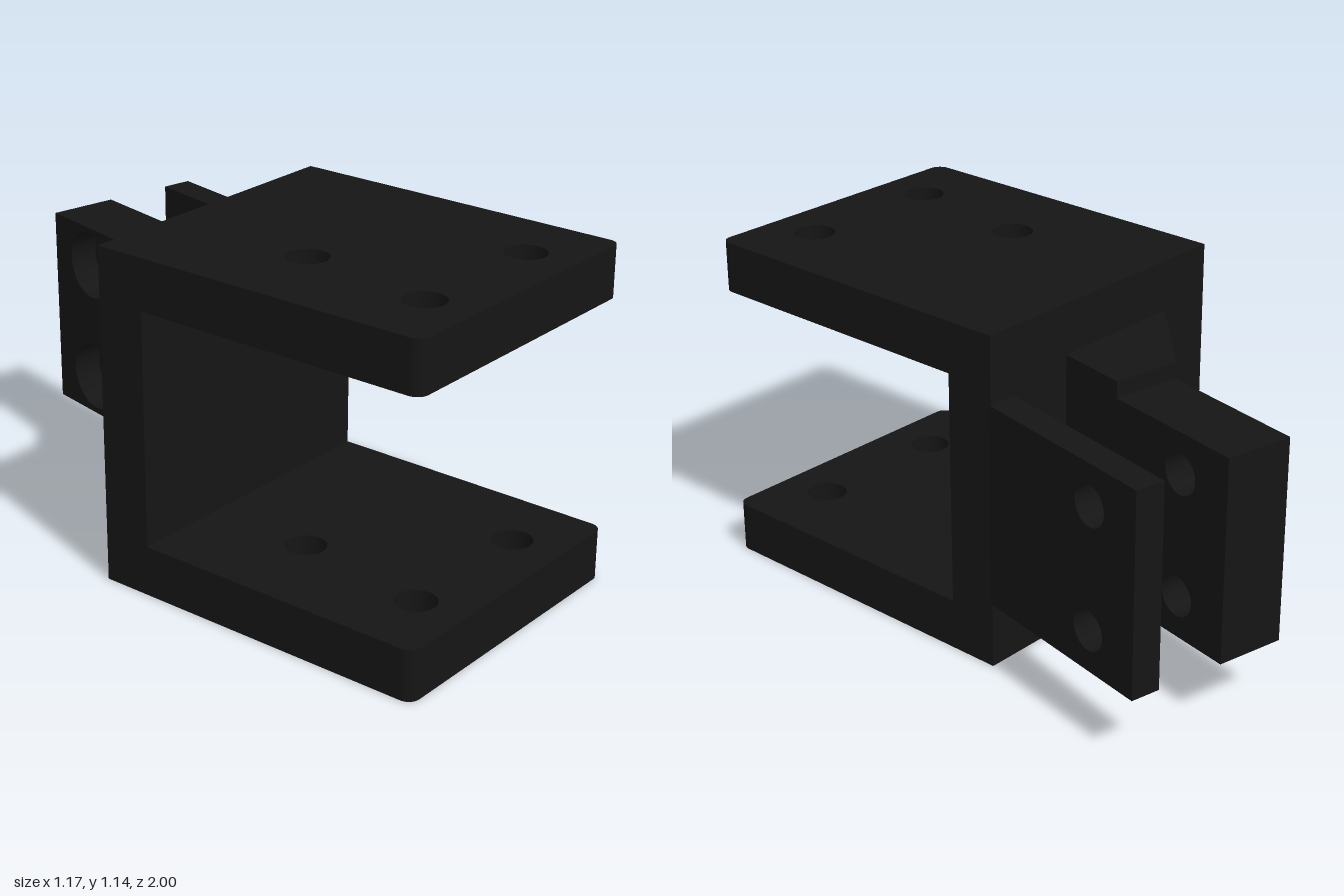
import * as THREE from 'three';
import { toCreasedNormals } from 'three/addons/utils/BufferGeometryUtils.js';

const material = new THREE.MeshStandardMaterial({ color: 0x151515 });
const HOLE_R = 0.068;
const ARM_ANGLE = THREE.MathUtils.degToRad(11.5);
const ARM_BOTTOM = 0.225, ARM_TOP = 0.91;
const ARM_HOLES = [[-0.21, 0.363], [-0.21, 0.775]];

function addHoles(shape, centres, radius) {
  for (const [x, y] of centres) {
    const hole = new THREE.Path();
    hole.absarc(x, y, radius, 0, Math.PI * 2, true);
    shape.holes.push(hole);
  }
  return shape;
}

function extrude(shape, depth) {
  const geometry = new THREE.ExtrudeGeometry(shape, { depth, bevelEnabled: false, curveSegments: 16 });
  return toCreasedNormals(geometry, 0.6);
}

function mesh(name, geometry) {
  const part = new THREE.Mesh(geometry, material);
  part.name = name;
  return part;
}

// Plan outlines use (x, -z) and rise along y
function planExtrude(name, shape, y0, y1) {
  const part = mesh(name, extrude(shape, y1 - y0).rotateX(-Math.PI / 2));
  part.position.y = y0;
  return part;
}

// Mounting plate: square at the back, small rounded corners at the front
function plateShape() {
  const l = -0.587, r = 0.442, back = 0.205, front = -1, c = 0.04;
  const s = new THREE.Shape();
  s.moveTo(l, back);
  s.lineTo(l, front + c);
  s.absarc(l + c, front + c, c, Math.PI, Math.PI * 1.5, false);
  s.lineTo(r - c, front);
  s.absarc(r - c, front + c, c, Math.PI * 1.5, Math.PI * 2, false);
  s.lineTo(r, back);
  s.closePath();
  return addHoles(s, [[-0.26, -0.345], [-0.33, -0.825], [0.185, -0.825]], HOLE_R);
}

// One slab of an arm: x runs along the arm to its tip at 0, z is its thickness
function armSlab(name, length, thickness, offset, holeRadius) {
  const s = new THREE.Shape();
  s.moveTo(-length, ARM_BOTTOM);
  s.lineTo(0, ARM_BOTTOM);
  s.lineTo(0, ARM_TOP);
  s.lineTo(-length, ARM_TOP);
  s.closePath();
  const part = mesh(name, extrude(addHoles(s, ARM_HOLES, holeRadius), thickness));
  part.position.z = offset;
  return part;
}

function arm(name, tipX, tipZ, ...slabs) {
  const group = new THREE.Group();
  group.name = name;
  group.position.set(tipX, 0, tipZ);
  group.rotation.y = Math.PI / 2 - ARM_ANGLE;
  group.add(...slabs);
  return group;
}

export function createModel() {
  const model = new THREE.Group();
  model.name = 'hingeBracket';

  // C-shaped body: two plates joined by a web at the back
  model.add(planExtrude('bottomPlate', plateShape(), 0, 0.172));
  model.add(planExtrude('topPlate', plateShape(), 0.965, 1.137));
  const web = mesh('backWeb', new THREE.BoxGeometry(1.029, 0.793, 0.173));
  web.position.set(-0.0725, 0.5685, -0.1185);
  model.add(web);

  // Wedge supporting the thick arm
  const wedge = new THREE.Shape([
    [-0.385, 0.205], [-0.385, 0.15], [0.085, 0.15], [0.097, 0.205], [0.148, 0.452], [-0.085, 0.495],
  ].map(([x, y]) => new THREE.Vector2(x, y)));
  model.add(planExtrude('armWedge', wedge, 0.172, 0.965));

  // Thick arm, counterbored on its outer side
  model.add(arm('thickArm', 0.02, -1,
    armSlab('counterboreLayer', 0.865, 0.1, 0, 0.118),
    armSlab('boltHoleLayer', 0.865, 0.135, 0.1, HOLE_R)));

  // Thin arm
  model.add(arm('thinArm', 0.482, -0.905,
    armSlab('thinArmPlate', 0.76, 0.102, 0, HOLE_R)));

  return model;
}
